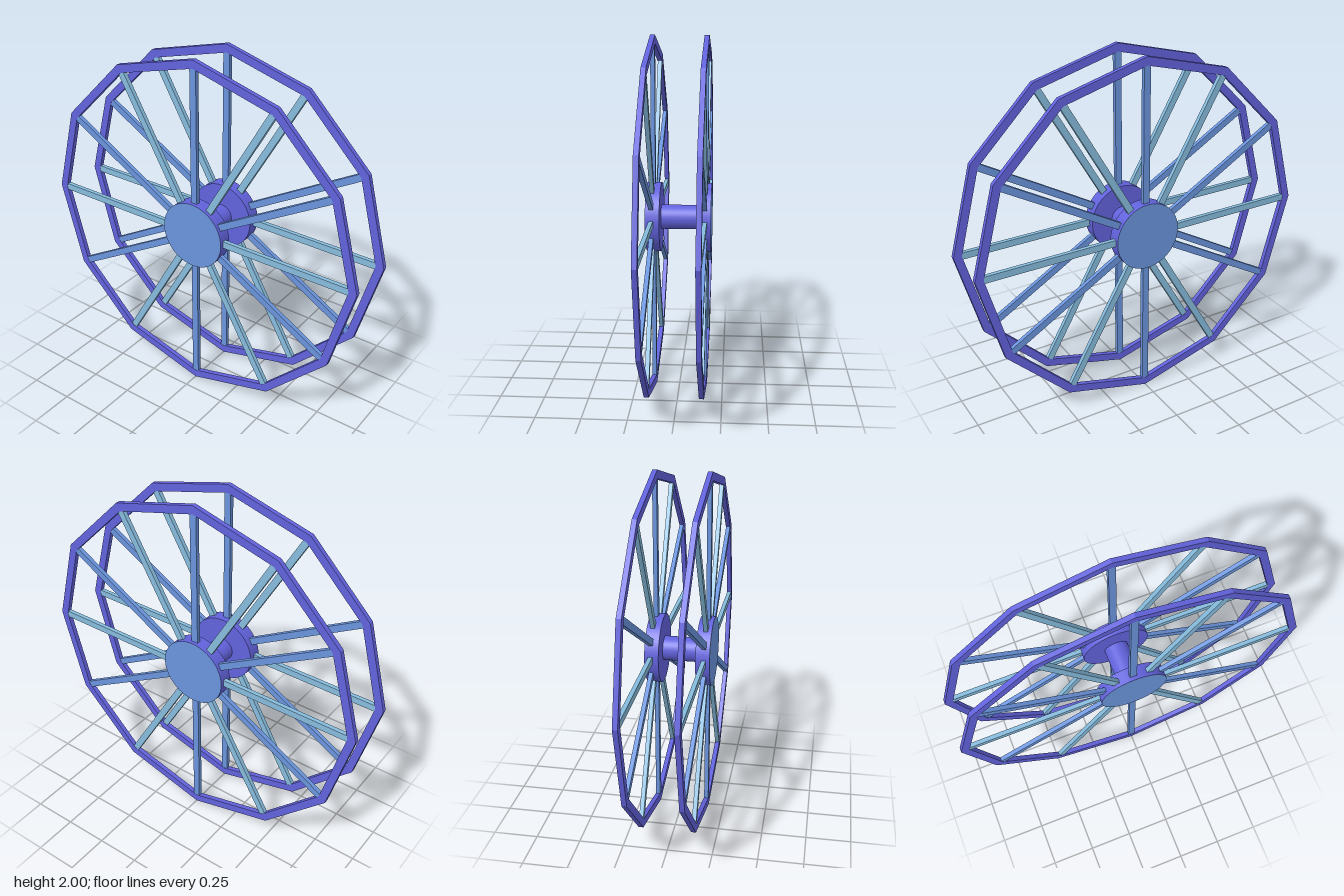
import * as THREE from 'three';

const SIDES = 12;
const RIM_OUTER = 1, RIM_INNER = 0.953, RIM_WIDTH = 0.027;
const WHEEL_X = 0.146;

const violet = new THREE.MeshStandardMaterial({ color: 0x6262dd });
const blue = new THREE.MeshStandardMaterial({ color: 0x6a94dd });
const teal = new THREE.MeshStandardMaterial({ color: 0x86bbdd });

function mesh(name, geometry, material) {
  const m = new THREE.Mesh(geometry, material);
  m.name = name;
  return m;
}

function polygon(radius) {
  return Array.from({ length: SIDES }, (_, i) => {
    const a = (i / SIDES) * Math.PI * 2;
    return new THREE.Vector2(Math.cos(a) * radius, Math.sin(a) * radius);
  });
}

// Twelve-sided rim with a rectangular section, lying across the x axis
function rimGeometry() {
  const shape = new THREE.Shape(polygon(RIM_OUTER));
  shape.holes.push(new THREE.Path(polygon(RIM_INNER).reverse()));
  return new THREE.ExtrudeGeometry(shape, { depth: RIM_WIDTH, bevelEnabled: false })
    .translate(0, 0, -RIM_WIDTH / 2)
    .rotateY(Math.PI / 2);
}

function createWheel(side, name) {
  const wheel = new THREE.Group();
  wheel.name = name;

  const rim = mesh('rim', rimGeometry(), violet);
  rim.position.x = side * WHEEL_X;
  wheel.add(rim);

  // Flat spokes in alternating colours, from inside the hub to the rim corners
  const from = 0.15, to = 0.962;
  const spokeGeometry = new THREE.BoxGeometry(0.024, to - from, 0.039).translate(0, (from + to) / 2, 0);
  for (let i = 0; i < SIDES; i++) {
    const spoke = mesh('spoke', spokeGeometry, i % 2 ? teal : blue);
    spoke.position.x = side * WHEEL_X;
    spoke.rotation.x = (i / SIDES) * Math.PI * 2;
    wheel.add(spoke);
  }

  // Hub disc with a lighter outer face
  const hub = mesh('hub', new THREE.CylinderGeometry(0.193, 0.193, 0.078, 48), [violet, blue, violet]);
  hub.position.x = side * 0.14;
  hub.rotation.z = (-side * Math.PI) / 2;
  wheel.add(hub);
  return wheel;
}

export function createModel() {
  const model = new THREE.Group();
  model.name = 'spokedWheelPair';
  model.position.y = 1;

  model.add(createWheel(1, 'leftWheel'), createWheel(-1, 'rightWheel'));

  // Axle joining the two hubs
  const axle = mesh('axle', new THREE.CylinderGeometry(0.068, 0.068, 0.22, 32), violet);
  axle.rotation.z = Math.PI / 2;
  model.add(axle);

  const root = new THREE.Group();
  root.name = 'model';
  root.add(model);
  return root;
}
